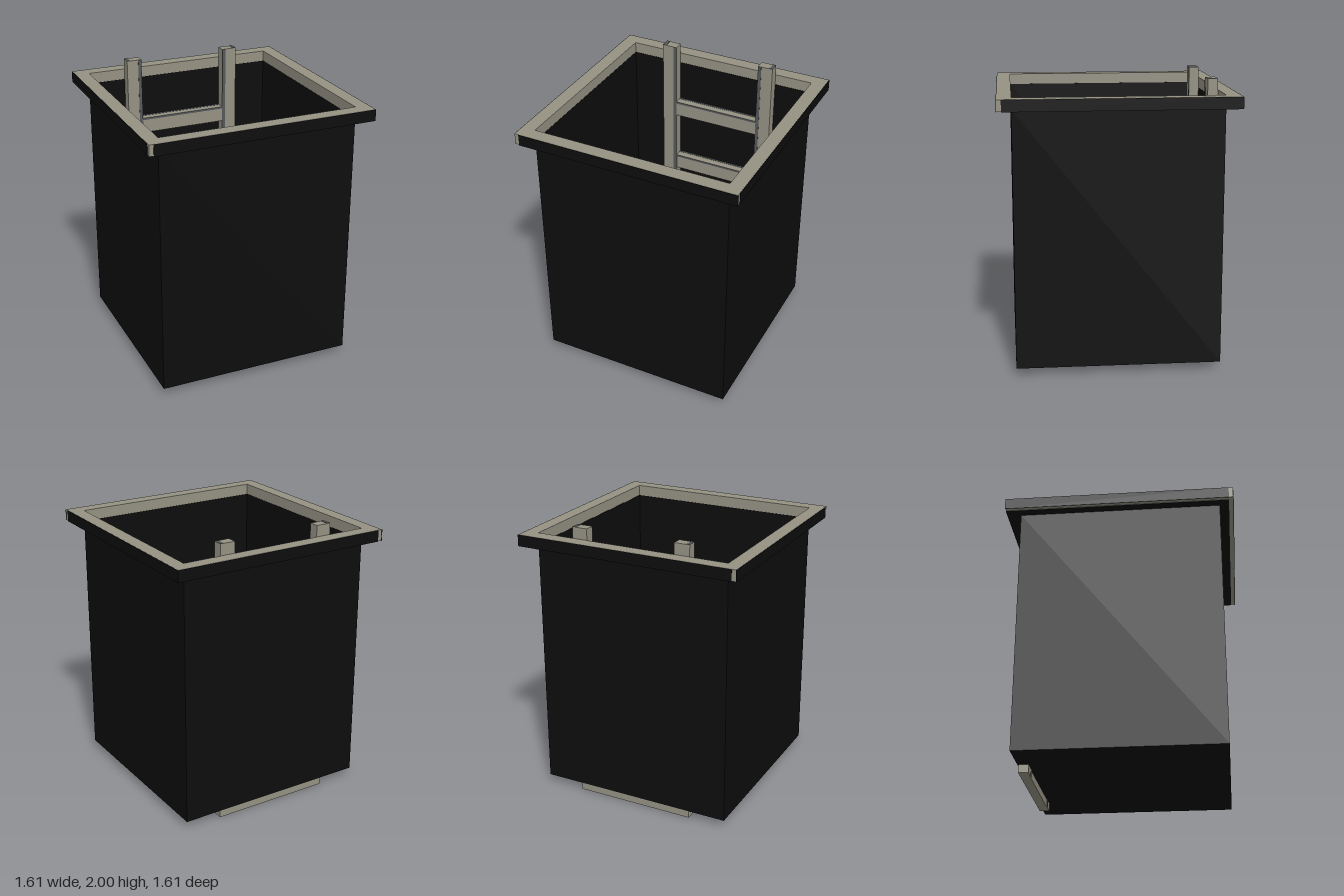
import * as THREE from 'three';

const shell = new THREE.MeshStandardMaterial({ color: 0x0d0d0d });
shell.name = 'blackShell';
const trim = new THREE.MeshStandardMaterial({ color: 0x959283 });
trim.name = 'stoneTrim';
const wear = new THREE.MeshStandardMaterial({ color: 0x55585a });
wear.name = 'greyEdge';

// Box given by its minimum and maximum corners
function block(parent, name, material, [x0, y0, z0], [x1, y1, z1]) {
  const geometry = new THREE.BoxGeometry(x1 - x0, y1 - y0, z1 - z0);
  const mesh = new THREE.Mesh(geometry, material);
  mesh.position.set((x0 + x1) / 2, (y0 + y1) / 2, (z0 + z1) / 2);
  mesh.name = name;
  parent.add(mesh);
  return mesh;
}

// Square frame lying flat, with its bottom at height y
function frame(parent, name, material, x0, x1, z0, z1, inner, y, height) {
  const shape = new THREE.Shape([
    new THREE.Vector2(x0, -z1), new THREE.Vector2(x1, -z1),
    new THREE.Vector2(x1, -z0), new THREE.Vector2(x0, -z0),
  ]);
  shape.holes.push(new THREE.Path([
    new THREE.Vector2(-inner, -inner), new THREE.Vector2(-inner, inner),
    new THREE.Vector2(inner, inner), new THREE.Vector2(inner, -inner),
  ]));
  const geometry = new THREE.ExtrudeGeometry(shape, { depth: height, bevelEnabled: false });
  geometry.rotateX(-Math.PI / 2);
  const mesh = new THREE.Mesh(geometry, material);
  mesh.position.y = y;
  mesh.name = name;
  parent.add(mesh);
}

export function createModel() {
  const model = new THREE.Group();
  model.name = 'shaftWithLadder';

  // Thin-walled open shaft and its floor
  const W = 0.708, FLOOR = 0.055, RIM = 1.842, TOP = 1.92;
  frame(model, 'shaftWalls', shell, -W, W, -W, W, W - 0.004, FLOOR, RIM - FLOOR);
  block(model, 'shaftFloor', shell, [-W + 0.002, FLOOR, -W + 0.002], [W - 0.002, FLOOR + 0.006, W - 0.002]);

  // Projecting rim
  const rim = new THREE.Group();
  rim.name = 'rim';
  model.add(rim);
  const R = 0.803, GAP = 0.03, T = 0.003;
  frame(rim, 'rimBody', trim, -R, R, -R, R, W - 0.002, RIM, TOP - RIM);

  // Black facing on the rim's underside and sides, short of one end
  frame(rim, 'rimUnderside', shell, -R + GAP, R, -R, R - GAP, W, RIM - T, T);
  for (const s of [-1, 1]) {
    const a = s * R, b = s * (R + T);
    block(rim, 'rimFacing', shell, [-R + GAP, RIM - T, Math.min(a, b)], [R + T, TOP - 0.001, Math.max(a, b)]);
    block(rim, 'rimSideFacing', shell, [Math.min(a, b), RIM - T, -R - T], [Math.max(a, b), TOP - 0.001, R - GAP]);
  }

  // Ladder against the back wall
  const ladder = new THREE.Group();
  ladder.name = 'ladder';
  model.add(ladder);
  const IN = 0.325, OUT = 0.435, BACK = -0.702, FRONT = -0.632;
  for (const s of [-1, 1]) {
    const span = (a, b) => [Math.min(s * a, s * b), Math.max(s * a, s * b)];
    const [x0, x1] = span(IN, OUT);
    block(ladder, 'ladderRail', trim, [x0, 0, BACK], [x1, 1.998, FRONT]);
    // Grey edges of the rail
    const [e0, e1] = span(IN, IN + 0.025);
    block(ladder, 'railInnerEdge', wear, [e0, 0, FRONT], [e1, 1.998, FRONT + 0.002]);
    const [t0, t1] = span(OUT - 0.025, OUT);
    block(ladder, 'railTopEdge', wear, [t0, 1.998, BACK], [t1, 2, FRONT]);
  }

  // Rungs with a grey strip along the back of the tread and the front edge
  for (let i = 0; i < 4; i++) {
    const y = i * 0.475;
    const top = y + 0.115;
    block(ladder, 'rung', trim, [-IN, y, BACK], [IN, top, FRONT - 0.004]);
    block(ladder, 'rungBackEdge', wear, [-IN, top, BACK], [IN, top + 0.002, BACK + 0.015]);
    block(ladder, 'rungFrontEdge', wear, [-IN, top - 0.015, FRONT - 0.004], [IN, top, FRONT - 0.002]);
  }
  return model;
}
